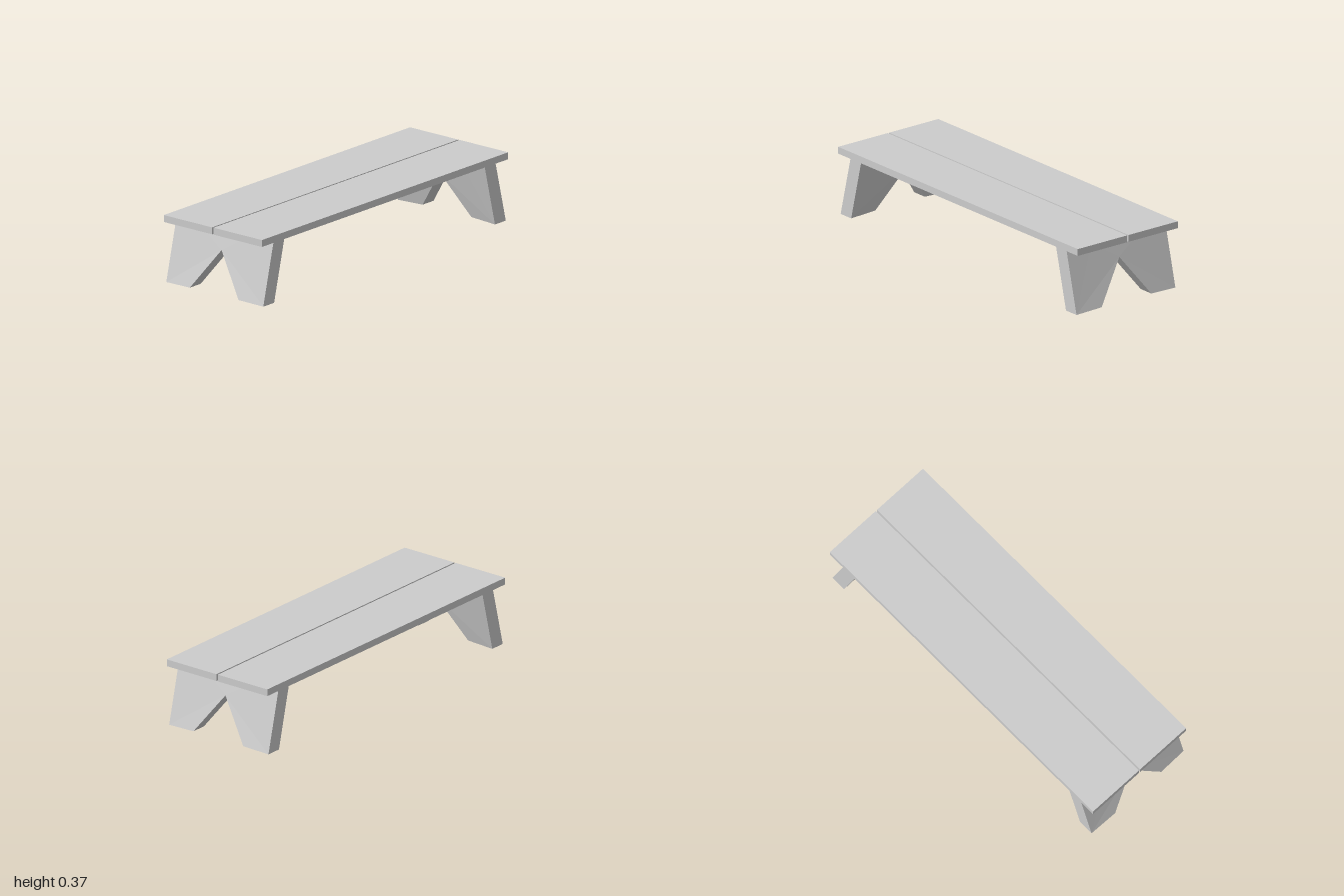
import * as THREE from 'three';

const material = new THREE.MeshStandardMaterial({ color: 0xcccccc, flatShading: true });
const LEG_TOP = 0.335, TOP = 0.373, HALF_WIDTH = 0.337;

// Plank running the full length, between two x positions
function plank(name, x0, x1) {
  const mesh = new THREE.Mesh(new THREE.BoxGeometry(x1 - x0, TOP - LEG_TOP, 2), material);
  mesh.position.set((x0 + x1) / 2, (TOP + LEG_TOP) / 2, 0);
  mesh.name = name;
  return mesh;
}

// Notched board, splayed outward towards the floor
function leg(name, footY) {
  const shape = new THREE.Shape([
    [-0.333, LEG_TOP], [-0.333, footY], [-0.167, 0.006], [0, 0.232],
    [0.167, 0.006], [0.333, footY], [0.333, LEG_TOP], [0.167, LEG_TOP], [-0.167, LEG_TOP],
  ].map(([x, y]) => new THREE.Vector2(x, y)));
  const geometry = new THREE.ExtrudeGeometry(shape, { depth: 0.088, bevelEnabled: false });
  const p = geometry.attributes.position;
  for (let i = 0; i < p.count; i++) {
    const drop = 1 - p.getY(i) / LEG_TOP;
    const bow = Math.abs(p.getX(i)) < 0.2 ? 0.006 * drop : 0; // slight hand-cut bow
    p.setZ(i, p.getZ(i) + 0.814 + 0.083 * drop + bow);
  }
  geometry.computeVertexNormals();
  const mesh = new THREE.Mesh(geometry, material);
  mesh.name = name;
  return mesh;
}

export function createModel() {
  const bench = new THREE.Group();
  bench.name = 'bench';
  const frontLeg = leg('frontLeg', 0.002);
  const backLeg = leg('backLeg', 0);
  backLeg.rotation.y = Math.PI;
  bench.add(
    plank('rightPlank', -HALF_WIDTH, -0.005),
    plank('leftPlank', 0.004, HALF_WIDTH),
    frontLeg, backLeg,
  );
  return bench;
}
